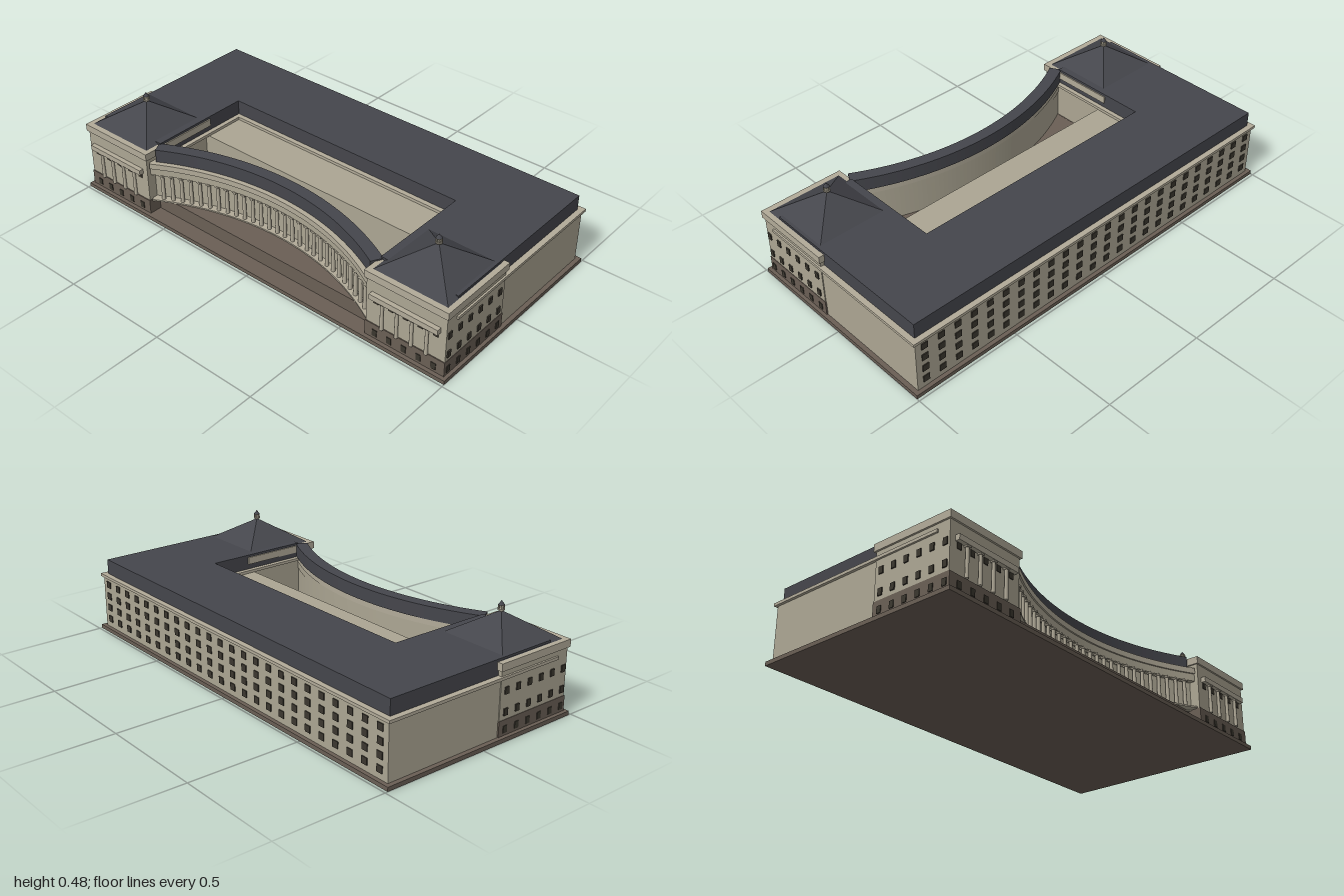
import * as THREE from 'three';

const mat = (color) => new THREE.MeshStandardMaterial({ color });
const stone = mat(0xaca693);
const trim = mat(0xb2ab99);
const brown = mat(0x6a5f55);
const slate = mat(0x45464c);
const glass = mat(0x3b372f);

const ARC_Z = 1.5; // centre of the curved colonnade

function add(parent, name, geometry, material, x = 0, y = 0, z = 0) {
  const mesh = new THREE.Mesh(geometry, material);
  mesh.name = name;
  mesh.position.set(x, y, z);
  parent.add(mesh);
  return mesh;
}

// box given by its lower and upper limits
function block(parent, name, material, x0, x1, y0, y1, z0, z1) {
  return add(parent, name, new THREE.BoxGeometry(x1 - x0, y1 - y0, z1 - z0), material,
    (x0 + x1) / 2, (y0 + y1) / 2, (z0 + z1) / 2);
}

// curved band between two radii, following the colonnade
function arcBand(parent, name, material, r0, r1, y0, y1, half) {
  const mid = -Math.PI / 2;
  const shape = new THREE.Shape();
  shape.absarc(0, ARC_Z, r1, mid - half, mid + half, false);
  shape.absarc(0, ARC_Z, r0, mid + half, mid - half, true);
  const geo = new THREE.ExtrudeGeometry(shape, { depth: y1 - y0, bevelEnabled: false, curveSegments: 32 });
  geo.rotateX(Math.PI / 2);
  return add(parent, name, geo, material, 0, y1, 0);
}

function column(parent, x, z, y0, y1, r) {
  const h = y1 - y0;
  add(parent, 'columnShaft', new THREE.CylinderGeometry(r * 0.85, r, h, 12), trim, x, y0 + h / 2, z);
  block(parent, 'columnCapital', trim, x - r * 1.2, x + r * 1.2, y1 - 0.008, y1, z - r * 1.2, z + r * 1.2);
}

// U-shaped storey: back range plus two side wings
function uShape(parent, name, material, y0, y1, outX, inX, back, inZ, front) {
  block(parent, name + 'Back', material, -outX, outX, y0, y1, back, inZ);
  for (const s of [-1, 1]) {
    const a = s * inX, b = s * outX;
    block(parent, name + 'Wing', material, Math.min(a, b), Math.max(a, b), y0, y1, inZ, front);
  }
}

function createPavilion(side) {
  const g = new THREE.Group();
  g.name = side > 0 ? 'leftPavilion' : 'rightPavilion';
  const cx = side * 0.797;
  const span = (name, m, half, y0, y1, z0, z1) => block(g, name, m, cx - half, cx + half, y0, y1, z0, z1);
  span('pavilionBase', brown, 0.189, 0.02, 0.087, 0.092, 0.472);
  span('pavilionWall', stone, 0.187, 0.087, 0.297, 0.094, 0.468);
  span('pavilionCornice', trim, 0.195, 0.297, 0.33, 0.086, 0.476);

  // pyramid roof with a small lantern
  const roof = new THREE.ConeGeometry(Math.SQRT1_2, 1, 4, 1).toNonIndexed();
  roof.rotateY(Math.PI / 4);
  roof.scale(0.345, 0.11, 0.34);
  roof.computeVertexNormals();
  add(g, 'pyramidRoof', roof, slate, cx, 0.385, 0.28);
  add(g, 'lanternCore', new THREE.CylinderGeometry(0.009, 0.011, 0.026, 8), stone, cx, 0.451, 0.28);
  for (let i = 0; i < 8; i++) {
    const a = (i / 8) * Math.PI * 2;
    add(g, 'lanternPost', new THREE.CylinderGeometry(0.002, 0.002, 0.02, 6), trim,
      cx + Math.cos(a) * 0.012, 0.453, 0.28 + Math.sin(a) * 0.012);
  }
  add(g, 'lanternBase', new THREE.CylinderGeometry(0.015, 0.015, 0.004, 8), trim, cx, 0.443, 0.28);
  add(g, 'lanternCap', new THREE.ConeGeometry(0.014, 0.018, 8), slate, cx, 0.472, 0.28);

  // front portico: columns between the windows, carrying a shallow entablature
  for (let i = 0; i < 4; i++) column(g, cx + (i - 1.5) * 0.07, 0.476, 0.087, 0.218, 0.008);
  span('porticoEntablature', trim, 0.16, 0.216, 0.24, 0.462, 0.489);

  // windows on the front and the outer flank
  const frontPane = new THREE.BoxGeometry(0.022, 0.03, 0.008);
  const sidePane = new THREE.BoxGeometry(0.008, 0.03, 0.021);
  for (let i = 0; i < 5; i++) {
    const x = cx + (i - 2) * 0.07;
    add(g, 'frontWindow', frontPane, glass, x, 0.047, 0.471);
    add(g, 'frontWindow', frontPane, glass, x, 0.205, 0.467);
  }
  for (let i = 0; i < 6; i++) {
    for (const y of [0.047, 0.12, 0.21]) {
      add(g, 'sideWindow', sidePane, glass, side * 0.985, y, 0.126 + i * 0.0645);
    }
  }
  return g;
}

function createColonnade() {
  const g = new THREE.Group();
  g.name = 'curvedColonnade';
  arcBand(g, 'colonnadeWall', stone, 1.236, 1.27, 0.08, 0.276, 0.52);
  arcBand(g, 'colonnadeStep', trim, 1.2, 1.25, 0.085, 0.092, 0.525);
  arcBand(g, 'colonnadeArchitrave', stone, 1.21, 1.272, 0.216, 0.25, 0.525);
  arcBand(g, 'colonnadeCornice', trim, 1.203, 1.275, 0.25, 0.276, 0.525);
  arcBand(g, 'colonnadeRoof', slate, 1.225, 1.28, 0.276, 0.336, 0.505);
  const n = 28;
  for (let i = 0; i < n; i++) {
    const a = (i / (n - 1) - 0.5) * 0.97;
    column(g, 1.218 * Math.sin(a), ARC_Z - 1.218 * Math.cos(a), 0.09, 0.218, 0.009);
  }
  return g;
}

export function createModel() {
  const model = new THREE.Group();
  model.name = 'columnedPalace';

  // ground plinth and terrace under the colonnade
  block(model, 'plinth', brown, -1, 1, 0, 0.018, -0.488, 0.488);
  block(model, 'terrace', brown, -0.63, 0.63, 0.018, 0.086, 0.1, 0.412);

  // main ranges around the courtyard
  uShape(model, 'mainWall', stone, 0.018, 0.262, 0.98, 0.61, -0.47, -0.1, 0.385);
  uShape(model, 'mainCornice', trim, 0.26, 0.273, 0.992, 0.587, -0.48, -0.077, 0.41);
  uShape(model, 'mainRoof', slate, 0.273, 0.341, 0.967, 0.608, -0.455, -0.1, 0.383);
  block(model, 'courtHall', stone, -0.612, 0.612, 0.018, 0.258, -0.11, 0.11);

  // rear facade windows
  const rear = new THREE.Group();
  rear.name = 'rearWindows';
  const pane = new THREE.BoxGeometry(0.03, 0.03, 0.008);
  for (let i = 0; i < 24; i++) {
    for (const y of [0.06, 0.116, 0.172, 0.228]) {
      add(rear, 'rearWindow', pane, glass, (i - 11.5) * 0.0815, y, -0.47);
    }
  }
  model.add(rear);

  model.add(createColonnade(), createPavilion(1), createPavilion(-1));
  return model;
}
